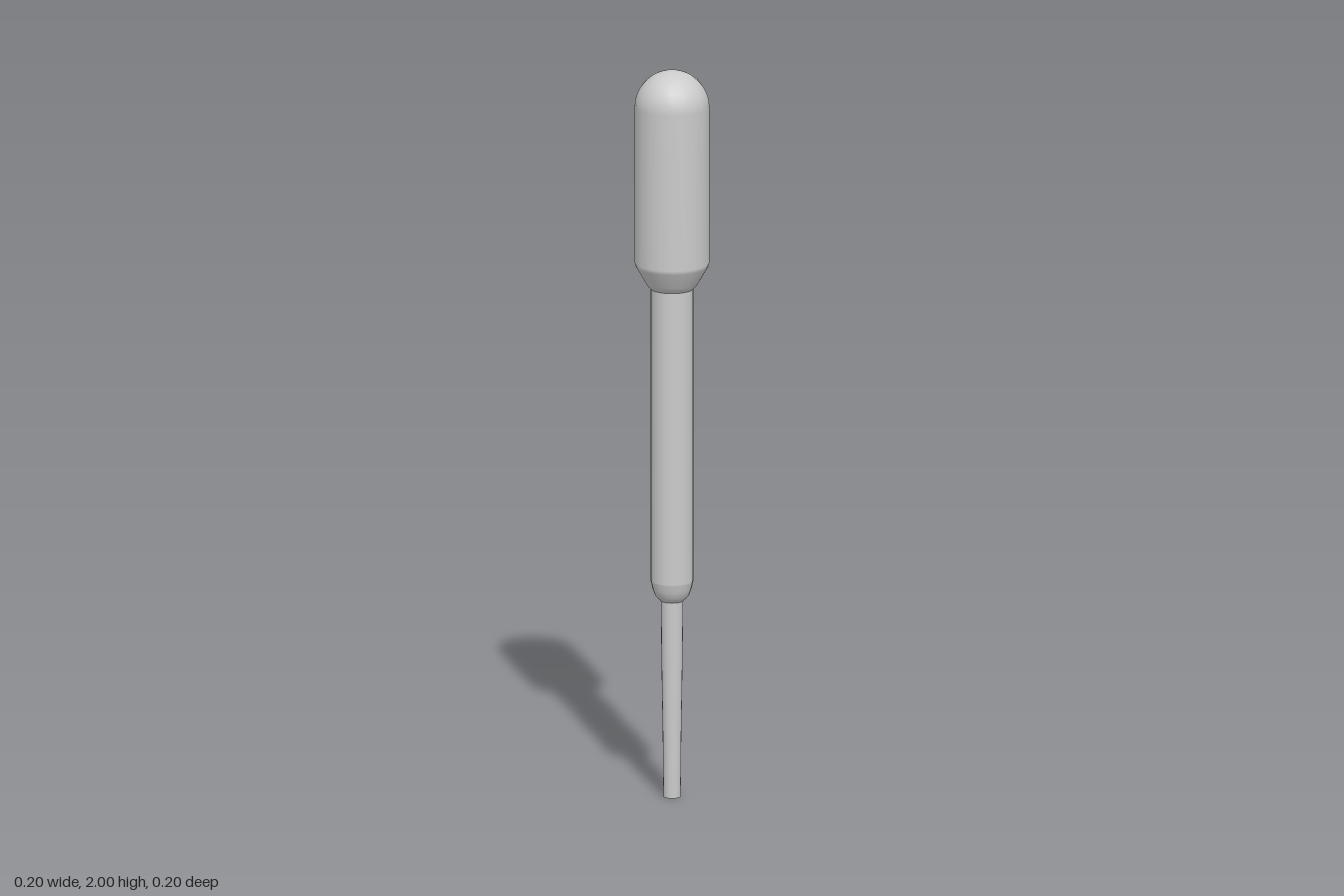
import * as THREE from 'three';

const SIDES = 20;
const material = new THREE.MeshStandardMaterial({ color: 0xcccccc, side: THREE.DoubleSide });

// Revolves a [radius, height] profile, listed from bottom to top
function turned(name, profile) {
  const points = profile.map(([r, y]) => new THREE.Vector2(r, y));
  const mesh = new THREE.Mesh(new THREE.LatheGeometry(points, SIDES), material);
  mesh.name = name;
  return mesh;
}

export function createModel() {
  const group = new THREE.Group();
  group.name = 'dropperPipette';

  // Slender tapering tip, open at the bottom
  group.add(turned('tip', [[0.023, 0], [0.025, 0.18], [0.028, 0.36], [0.03, 0.54]]));

  // Rounded shoulder between tip and stem
  group.add(turned('shoulder', [[0.03, 0.54], [0.038, 0.547], [0.046, 0.557], [0.052, 0.573], [0.057, 0.595]]));

  // Straight stem
  group.add(turned('stem', [[0.057, 0.595], [0.057, 1.4]]));

  // Squeeze bulb: flared neck, straight wall and hemispherical dome
  const bulb = [[0.057, 1.4], [0.065, 1.408], [0.072, 1.418], [0.097, 1.461], [0.1, 1.472], [0.1, 1.9]];
  const steps = 8;
  for (let i = 1; i <= steps; i++) {
    const a = (i / steps) * Math.PI / 2;
    bulb.push([i === steps ? 0 : 0.1 * Math.cos(a), 1.9 + 0.1 * Math.sin(a)]);
  }
  group.add(turned('bulb', bulb));

  return group;
}
